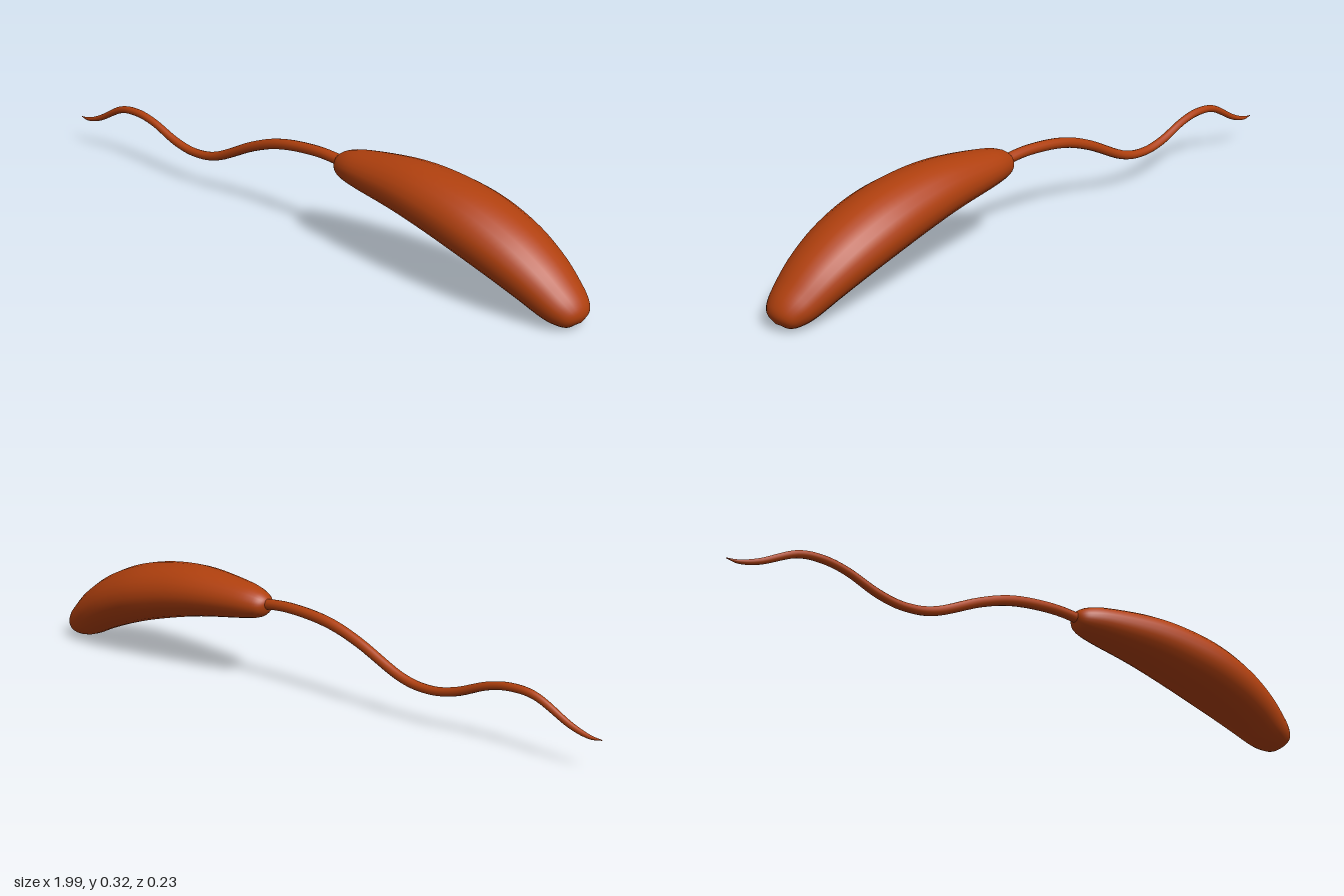
import * as THREE from 'three';

// Lofts elliptical rings along stations of [x, y, half height, half width].
function loft(stations, steps, sides) {
  const path = new THREE.CatmullRomCurve3(
    stations.map(([x, y]) => new THREE.Vector3(x, y, 0)), false, 'catmullrom');
  const size = new THREE.CatmullRomCurve3(
    stations.map(([, , h, w]) => new THREE.Vector3(h, w, 0)), false, 'catmullrom');
  const positions = [], indices = [];
  for (let i = 0; i <= steps; i++) {
    const p = path.getPoint(i / steps);
    const t = path.getTangent(i / steps);
    const s = size.getPoint(i / steps);
    const h = Math.max(s.x, 0.0005), w = Math.max(s.y, 0.0005);
    for (let j = 0; j < sides; j++) {
      const a = (j / sides) * Math.PI * 2;
      const up = Math.cos(a) * h;
      positions.push(p.x - t.y * up, p.y + t.x * up, Math.sin(a) * w);
      if (i === steps) continue;
      const k = (j + 1) % sides;
      const r = i * sides, n = r + sides;
      indices.push(r + j, r + k, n + j, r + k, n + k, n + j);
    }
  }
  const geometry = new THREE.BufferGeometry();
  geometry.setAttribute('position', new THREE.Float32BufferAttribute(positions, 3));
  geometry.setIndex(indices);
  geometry.computeVertexNormals();
  return geometry;
}

export function createModel() {
  const group = new THREE.Group();
  const rust = new THREE.MeshStandardMaterial({ color: 0xb0400e });
  rust.name = 'rust';

  // Curved, bean-shaped body, drooping towards its rounded end
  const body = new THREE.Mesh(loft([
    [0.139, 0.24, 0, 0],
    [0.15, 0.241, 0.026, 0.03],
    [0.18, 0.241, 0.043, 0.05],
    [0.25, 0.243, 0.057, 0.07],
    [0.4, 0.24, 0.076, 0.095],
    [0.52, 0.225, 0.086, 0.109],
    [0.64, 0.198, 0.09, 0.117],
    [0.75, 0.159, 0.086, 0.113],
    [0.84, 0.114, 0.076, 0.1],
    [0.91, 0.069, 0.063, 0.082],
    [0.95, 0.045, 0.05, 0.066],
    [0.975, 0.029, 0.031, 0.043],
    [0.984, 0.022, 0, 0],
  ], 60, 24), rust);
  body.name = 'body';

  // Thin wavy tail, tapering to a point
  const tail = new THREE.Mesh(loft([
    [-1, 0.091, 0.001, 0.001],
    [-0.96, 0.092, 0.006, 0.006],
    [-0.9, 0.112, 0.009, 0.009],
    [-0.8, 0.164, 0.011, 0.011],
    [-0.72, 0.174, 0.012, 0.012],
    [-0.64, 0.16, 0.012, 0.012],
    [-0.54, 0.122, 0.013, 0.013],
    [-0.45, 0.108, 0.013, 0.013],
    [-0.35, 0.125, 0.014, 0.014],
    [-0.2, 0.196, 0.015, 0.015],
    [-0.08, 0.235, 0.016, 0.016],
    [0.06, 0.25, 0.016, 0.016],
    [0.18, 0.243, 0.016, 0.016],
  ], 72, 12), rust);
  tail.name = 'tail';

  group.add(body, tail);
  return group;
}
